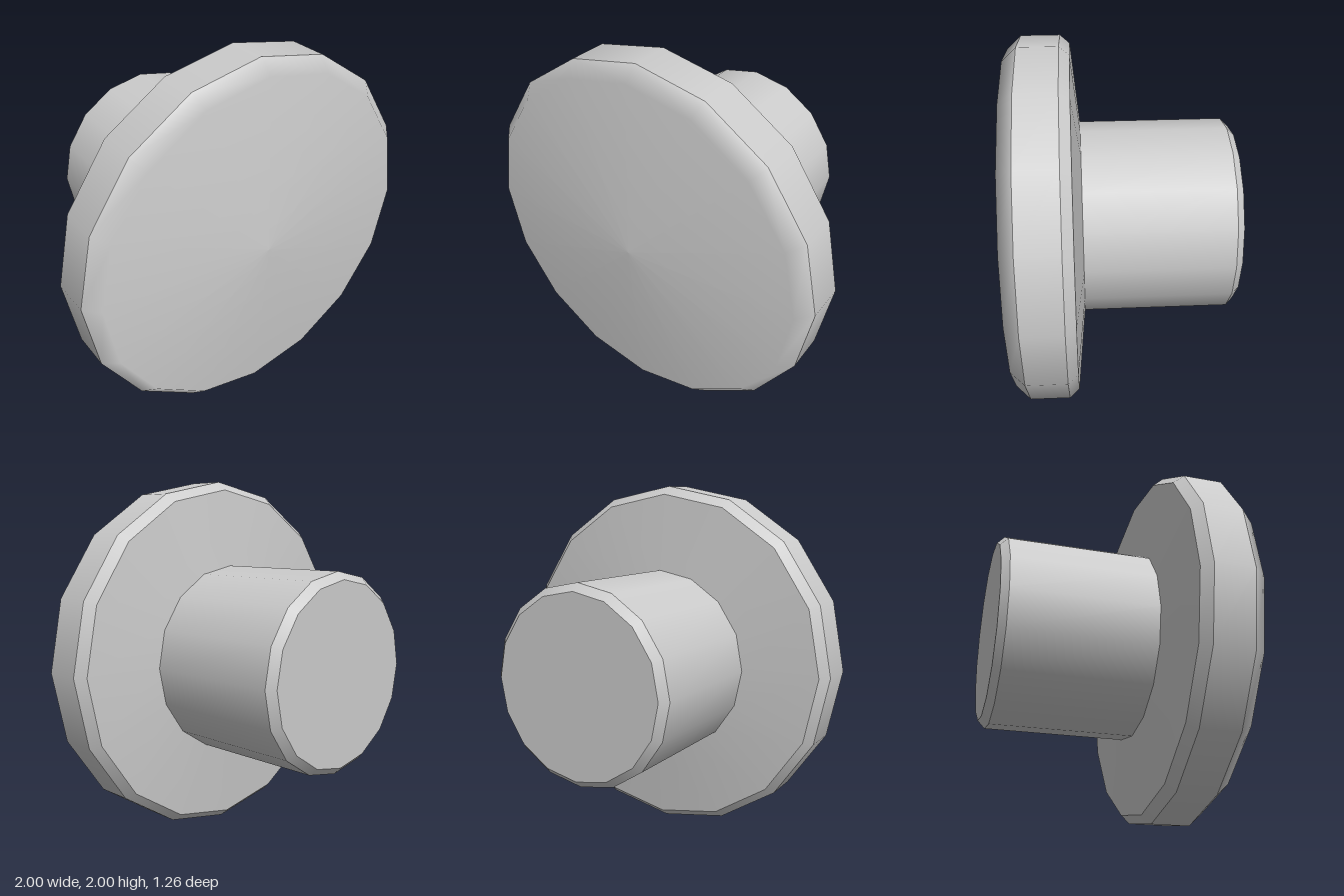
import * as THREE from 'three';

const SIDES = 16;
const material = new THREE.MeshStandardMaterial({ color: 0xcccccc });

// One smooth band of revolution about z; points are [radius, z] from back to front
function band(name, points) {
  const profile = points.map(([r, z]) => new THREE.Vector2(r, z));
  const geometry = new THREE.LatheGeometry(profile, SIDES);
  geometry.rotateX(Math.PI / 2);
  const mesh = new THREE.Mesh(geometry, material);
  mesh.name = name;
  return mesh;
}

function part(name, ...bands) {
  const group = new THREE.Group();
  group.name = name;
  group.add(...bands);
  return group;
}

export function createModel() {
  const model = new THREE.Group();
  model.name = 'knob';

  // Stem with a chamfered end; separate bands keep the edges sharp
  const end = [0.49, -0.63], chamfer = [0.53, -0.59], neck = [0.53, 0.19];
  model.add(part('stem',
    band('stemEnd', [[0, -0.63], end]),
    band('stemChamfer', [end, chamfer]),
    band('stemWall', [chamfer, neck])));

  // Wide head: sloped back, bevel, rim, and a shallow front that blends into its bevel
  const back = [0.955, 0.233], rimBack = [1, 0.285], rimFront = [1, 0.496];
  model.add(part('head',
    band('headBack', [neck, back]),
    band('headBackBevel', [back, rimBack]),
    band('headRim', [rimBack, rimFront]),
    band('headFront', [rimFront, [0.928, 0.572], [0, 0.63]])));

  model.position.y = 1;
  return model;
}
